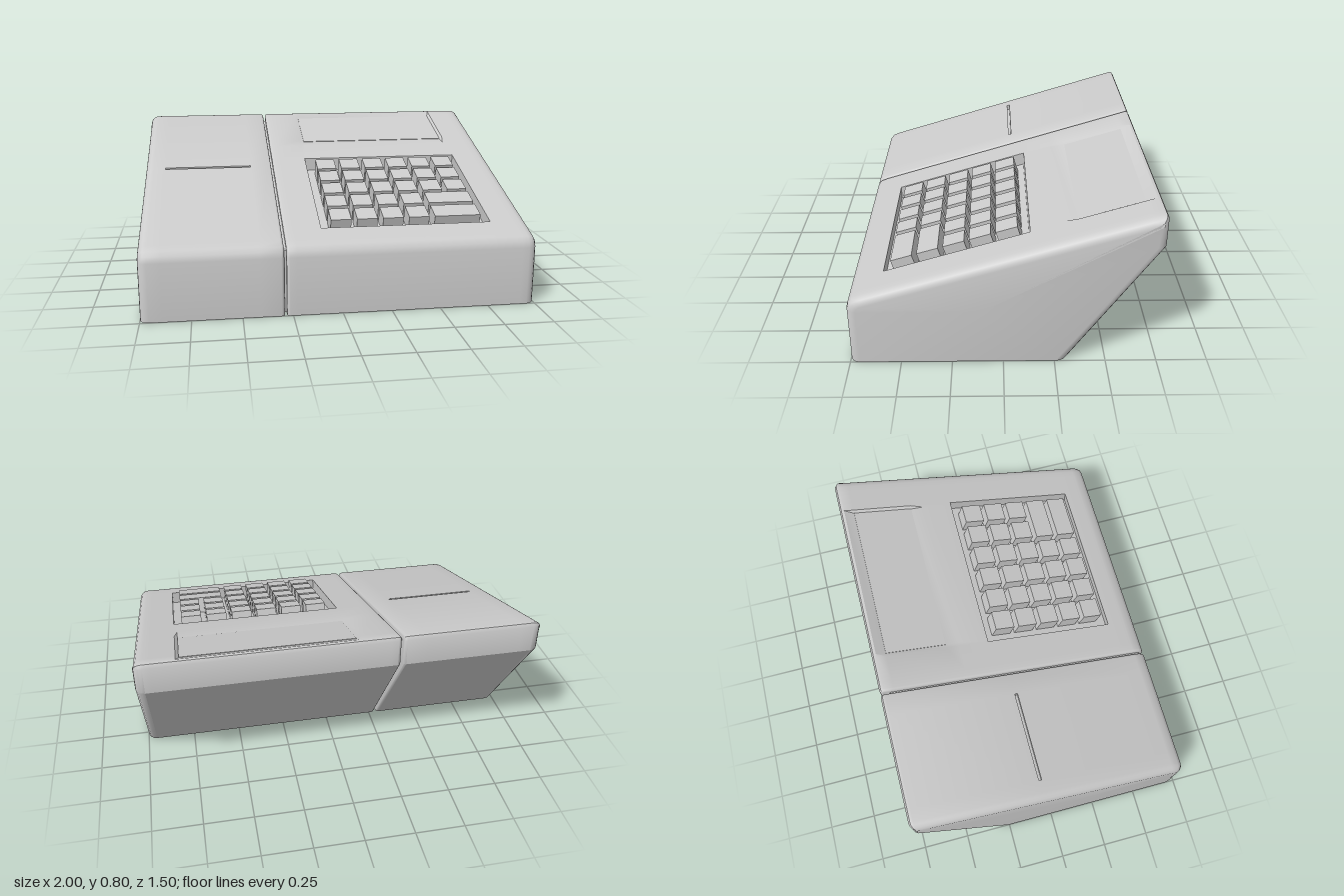
import * as THREE from 'three';
import { toCreasedNormals } from 'three/addons/utils/BufferGeometryUtils.js';

const SLOPE = 0.305;
const topY = (z) => 0.37 + (0.68 - z) * SLOPE; // height of the sloping top
const DISH = 0.012;

const inside = (r, x, z) => x > r.x0 - 1e-4 && x < r.x1 + 1e-4 && z > r.z0 - 1e-4 && z < r.z1 + 1e-4;

// Side profile as [z, y, inset z, inset y], front bottom round to back bottom
function profile(topZ) {
  return [
    [0.75, 0, -1, 0], [0.75, 0.3, -1, -0.1], [0.742, 0.332, -1, -0.4], [0.722, 0.354, -0.7, -0.8],
    ...[0.68, ...topZ, -0.725].map((z) => [z, topY(z), 0, -1]),
    [-0.74, 0.797, 0.6, -0.9], [-0.75, 0.78, 1, -0.4], [-0.75, 0.64, 1, 0.1], [-0.31, 0, 1.2, 0],
  ];
}

// Loft the profile along x with rounded ends; leave out the hole, sink the dish
function bodyGeometry(x0, x1, r0, r1, midX, topZ, hole, dish) {
  const prof = profile(topZ);
  const stations = [];
  for (let k = 0; k <= 4; k++) {
    const a = (k * Math.PI) / 8;
    stations.push([x0 + r0 * (1 - Math.cos(Math.PI / 2 - a + Math.PI / 2 + Math.PI / 2) - 1 + 0), 0]);
    stations[k] = [x0 + r0 * (1 - Math.cos(a)), r0 * (1 - Math.sin(a))];
  }
  for (const x of midX) stations.push([x, 0]);
  for (let k = 4; k >= 0; k--) {
    const a = (k * Math.PI) / 8;
    stations.push([x1 - r1 * (1 - Math.cos(a)), r1 * (1 - Math.sin(a))]);
  }
  const n = prof.length;
  const pos = [];
  const idx = [];
  for (const [x, t] of stations) {
    prof.forEach(([z, y, iz, iy], i) => {
      const sunk = dish && i > 4 && i < n - 5 && inside(dish, x, z) ? DISH : 0;
      pos.push(x, y + iy * t - sunk, z + iz * t);
    });
  }
  for (let j = 0; j < stations.length - 1; j++) {
    for (let i = 0; i < n; i++) {
      const i2 = (i + 1) % n;
      const cx = (stations[j][0] + stations[j + 1][0]) / 2;
      const cz = (prof[i][0] + prof[i2][0]) / 2;
      const onTop = i >= 4 && i2 <= n - 5 && i2 > i;
      if (onTop && inside(hole, cx, cz)) continue;
      const a = j * n + i, b = (j + 1) * n + i, c = (j + 1) * n + i2, d = j * n + i2;
      idx.push(a, b, c, a, c, d);
    }
  }
  // end caps
  const last = (stations.length - 1) * n;
  const c0 = pos.length / 3;
  pos.push(x0, 0.3, 0.1, x1, 0.3, 0.1);
  for (let i = 0; i < n; i++) {
    const i2 = (i + 1) % n;
    idx.push(c0, i, i2, c0 + 1, last + i2, last + i);
  }
  const g = new THREE.BufferGeometry();
  g.setAttribute('position', new THREE.Float32BufferAttribute(pos, 3));
  g.setIndex(idx);
  return toCreasedNormals(g, 0.6);
}

// Inward-facing open box below a hole in the sloping top
function wellGeometry({ x0, x1, z0, z1 }, depth) {
  const g = new THREE.BoxGeometry(x1 - x0, 1, z1 - z0);
  g.setIndex([...g.index.array].filter((_, k) => k < 12 || k > 17));
  g.scale(-1, 1, 1);
  const p = g.attributes.position;
  for (let i = 0; i < p.count; i++) {
    const z = p.getZ(i) + (z0 + z1) / 2;
    p.setXYZ(i, p.getX(i) + (x0 + x1) / 2, topY(z) - (p.getY(i) < 0 ? depth : 0), z);
  }
  const flat = g.toNonIndexed();
  flat.computeVertexNormals();
  return flat;
}

export function createModel() {
  const model = new THREE.Group();
  model.name = 'cashRegister';
  const casing = new THREE.MeshStandardMaterial({ color: 0xcccccc });
  casing.name = 'casing grey';

  const add = (name, geometry, parent = model) => {
    const mesh = new THREE.Mesh(geometry, casing);
    mesh.name = name;
    parent.add(mesh);
    return mesh;
  };

  // Block lying on the slope, its top face raised by lift
  const slopedBlock = (name, x0, x1, z0, z1, height, lift, parent) => {
    const length = (z1 - z0) * Math.hypot(1, SLOPE);
    const g = new THREE.BoxGeometry(x1 - x0, height, length);
    g.translate(0, -height / 2, 0);
    const mesh = add(name, g, parent);
    const z = (z0 + z1) / 2;
    mesh.position.set((x0 + x1) / 2, topY(z) + lift, z);
    mesh.rotation.x = Math.atan(SLOPE);
    return mesh;
  };

  // Main housing with key well and dished display
  const well = { x0: -0.09, x1: 0.8, z0: -0.13, z1: 0.585 };
  const display = { x0: -0.07, x1: 0.785, z0: -0.675, z1: -0.36 };
  add('mainHousing', bodyGeometry(-0.28, 1, 0.015, 0.045,
    [-0.23, -0.09, -0.07, 0.785, 0.8, 0.92],
    [0.585, -0.13, -0.29, -0.36, -0.675], well, display));
  add('keyWell', wellGeometry(well, 0.07));
  slopedBlock('displayPanel', display.x0, display.x1, display.z0, display.z1, 0.008, -DISH + 0.003);

  // Printer housing with paper slot
  const slot = { x0: -0.89, x1: -0.41, z0: -0.065, z1: -0.05 };
  add('printerHousing', bodyGeometry(-1, -0.292, 0.045, 0.015,
    [-0.89, -0.41], [-0.05, -0.065], slot, null));
  add('paperSlot', wellGeometry(slot, 0.03));

  // Joint filling the seam between the housings
  const joint = new THREE.Shape([[0.72, 0.01], [0.72, 0.33], [-0.7, 0.76], [-0.7, 0.64], [-0.28, 0.01]]
    .map(([z, y]) => new THREE.Vector2(-z, y)));
  const jointGeo = new THREE.ExtrudeGeometry(joint, { depth: 0.03, bevelEnabled: false });
  jointGeo.rotateY(Math.PI / 2);
  add('seamJoint', jointGeo).position.x = -0.301;

  // Keypad: five rows of six, with double keys in the last two rows
  const keypad = new THREE.Group();
  keypad.name = 'keypad';
  model.add(keypad);
  for (let row = 0; row < 5; row++) {
    const z = -0.07 + row * 0.13;
    const wide = row > 2;
    for (let col = 0; col < (wide ? 5 : 6); col++) {
      const x = -0.035 + col * 0.137;
      const width = wide && col === 4 ? 0.244 : 0.107;
      slopedBlock('key', x, x + width, z, z + 0.105, 0.09, 0.022, keypad);
    }
  }
  return model;
}
